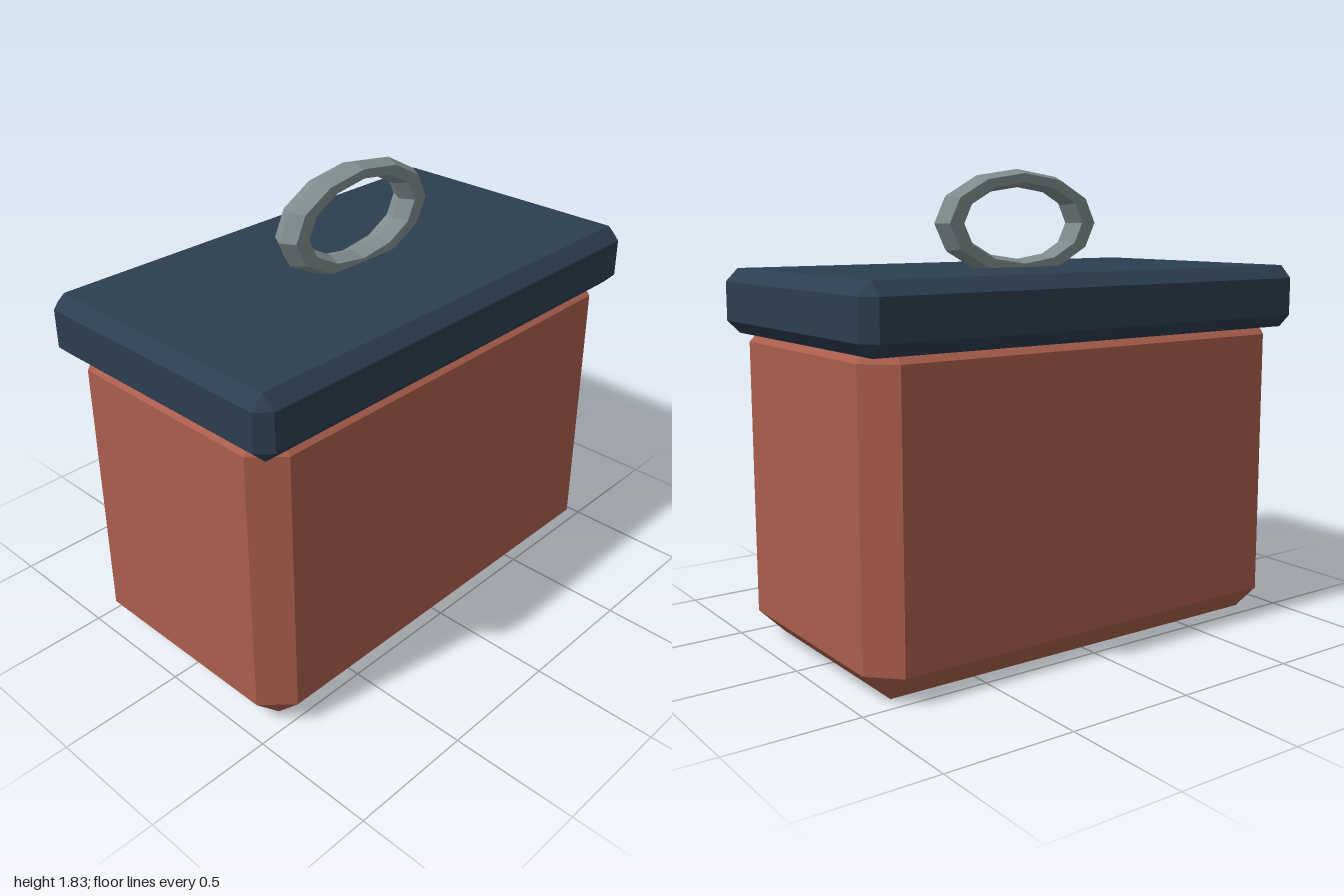
import * as THREE from 'three';
import { ConvexGeometry } from 'three/addons/geometries/ConvexGeometry.js';

// Box with every edge cut at 45 degrees and triangular corner facets
function chamferBox(width, height, depth, cut) {
  const points = [];
  for (const sx of [-1, 1]) for (const sy of [-1, 1]) for (const sz of [-1, 1]) {
    const [x, y, z] = [width / 2, height / 2, depth / 2];
    points.push(
      new THREE.Vector3(sx * x, sy * (y - cut), sz * (z - cut)),
      new THREE.Vector3(sx * (x - cut), sy * y, sz * (z - cut)),
      new THREE.Vector3(sx * (x - cut), sy * (y - cut), sz * z)
    );
  }
  return new ConvexGeometry(points);
}

function material(name, color) {
  const m = new THREE.MeshStandardMaterial({ color, flatShading: true });
  m.name = name;
  return m;
}

export function createModel() {
  const model = new THREE.Group();
  model.name = 'liddedBox';

  const add = (name, geometry, mat, y) => {
    const mesh = new THREE.Mesh(geometry, mat);
    mesh.name = name;
    mesh.position.y = y;
    model.add(mesh);
  };

  // Container, its top tucked into the lid
  add('body', chamferBox(1.91, 1.28, 1.06, 0.106), material('terracotta', 0xaa5e4c), 0.64);

  // Overhanging lid
  add('lid', chamferBox(2, 0.25, 1.15, 0.05), material('navy', 0x2c3e50), 1.325);

  // Flattened ring handle, partly sunk into the lid
  const ring = new THREE.TorusGeometry(0.318, 0.064, 6, 12);
  ring.scale(1, 0.55, 1);
  add('ringHandle', ring, material('grey', 0x7f8c8d), 1.62);

  return model;
}
